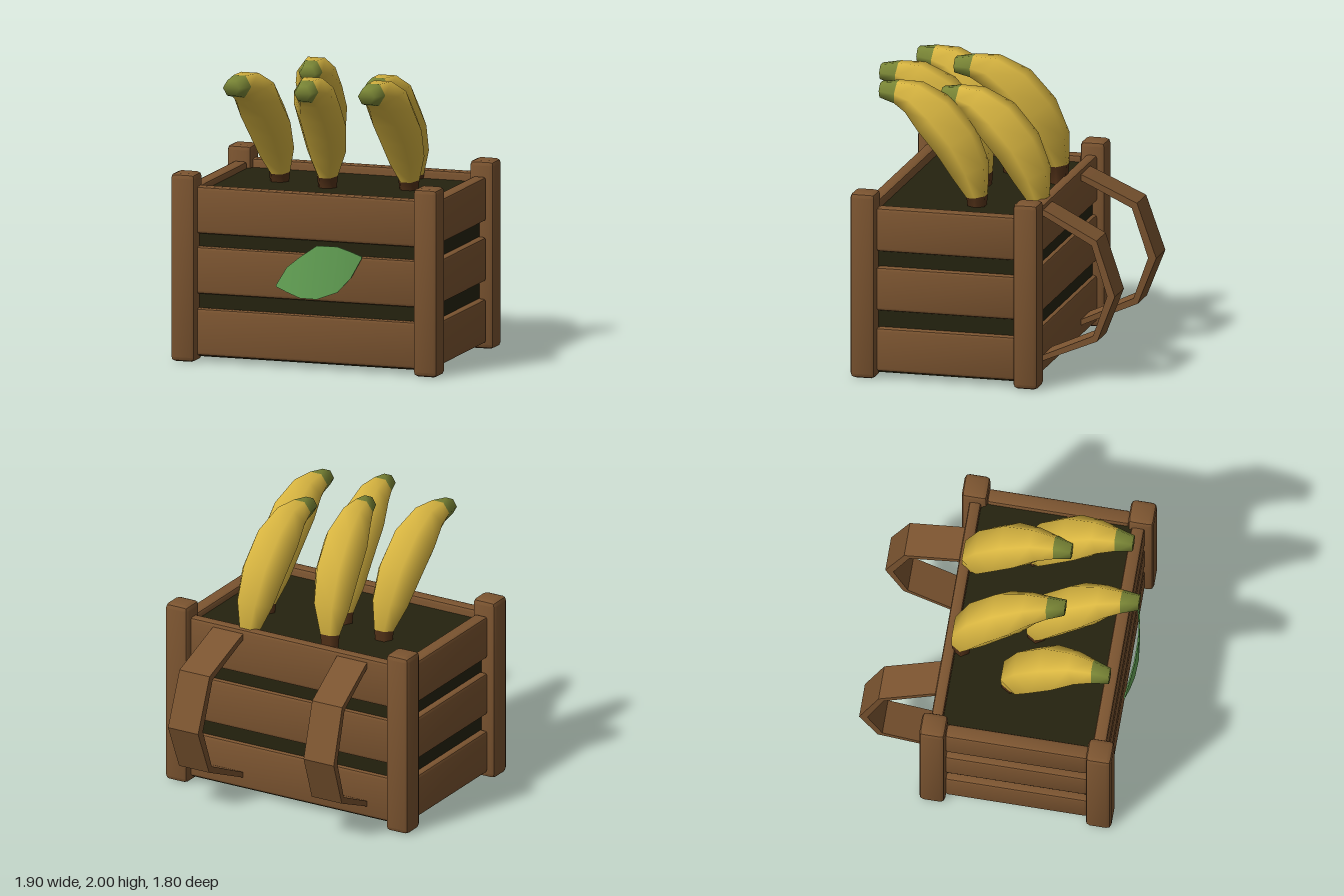
import * as THREE from 'three';
import { toCreasedNormals } from 'three/addons/utils/BufferGeometryUtils.js';
import { RoundedBoxGeometry } from 'three/addons/geometries/RoundedBoxGeometry.js';

const mat = (name, color) => {
  const m = new THREE.MeshStandardMaterial({ color });
  m.name = name;
  return m;
};

export function createModel() {
  const wood = mat('wood brown', 0x7b5430);
  const dark = mat('dark interior', 0x25230f);
  const yellow = mat('banana yellow', 0xd9b641);
  const green = mat('tip green', 0x7a8636);
  const stem = mat('stem brown', 0x553319);
  const leafGreen = mat('leaf green', 0x67a858);

  const model = new THREE.Group();
  const add = (name, geometry, material) => {
    const mesh = new THREE.Mesh(geometry, material);
    mesh.name = name;
    model.add(mesh);
    return mesh;
  };
  // Chamfered box given by its extents on each axis
  const block = (name, [x0, x1], [y0, y1], [z0, z1], bevel) => {
    const g = new RoundedBoxGeometry(x1 - x0, y1 - y0, z1 - z0, 1, bevel);
    add(name, toCreasedNormals(g, 0.4), wood)
      .position.set((x0 + x1) / 2, (y0 + y1) / 2, (z0 + z1) / 2);
  };

  // Corner posts
  for (const [x0, x1] of [[-0.95, -0.775], [0.775, 0.95]]) {
    for (const z of [[-0.445, -0.27], [0.685, 0.86]]) block('cornerPost', [x0, x1], [0, 1.28], z, 0.032);
  }

  // Three rows of planks on each wall
  for (const y of [0.04, 0.46, 0.87]) {
    block('frontPlank', [-0.8, 0.8], [y, y + 0.32], [0.71, 0.8], 0.02);
    block('backPlank', [-0.8, 0.8], [y, y + 0.32], [-0.39, -0.31], 0.02);
    for (const x of [[-0.9, -0.8], [0.8, 0.9]]) {
      block('sidePlank', x, [y + 0.005, y + 0.305], [-0.275, 0.69], 0.02);
    }
  }

  // Dark filling of the crate
  add('crateInterior', new THREE.BoxGeometry(1.7, 1.1, 1.12), dark).position.set(0, 0.58, 0.2);

  // Carrying straps on the back, leaning slightly outward
  const strapShape = new THREE.Shape([
    [-0.35, 1.18], [-0.44, 1.14], [-0.77, 0.98], [-0.9, 0.605], [-0.775, 0.285], [-0.44, 0.14], [-0.35, 0.1],
    [-0.35, 0.14], [-0.44, 0.18], [-0.745, 0.32], [-0.845, 0.605], [-0.735, 0.945], [-0.44, 1.095], [-0.35, 1.14],
  ].map(([z, y]) => new THREE.Vector2(z, y)));
  for (const side of [-1, 1]) {
    const g = new THREE.ExtrudeGeometry(strapShape, { depth: 0.235, bevelEnabled: false });
    g.translate(0, 0, -0.1175).rotateY(-Math.PI / 2);
    const p = g.attributes.position;
    for (let i = 0; i < p.count; i++) {
      p.setX(i, p.getX(i) + side * (0.485 + 0.045 * (-p.getZ(i) - 0.4) / 0.5));
    }
    g.computeVertexNormals();
    add(side > 0 ? 'leftStrap' : 'rightStrap', g, wood);
  }

  // Bananas: six-sided rings [z, y, radius] along a curved centre line
  const rings = [
    [0.1, 1.06, 0.06], [0.1, 1.195, 0.075], [0.15, 1.37, 0.138], [0.25, 1.56, 0.165],
    [0.4, 1.73, 0.165], [0.55, 1.84, 0.122], [0.67, 1.867, 0.085], [0.785, 1.872, 0.058],
  ];
  const sides = 6;
  const last = rings.length - 1;
  const bananaGeometry = (baseX, tipX, dz, dy) => {
    const pos = [], index = [];
    rings.forEach(([z, y, r], i) => {
      const a = rings[Math.max(i - 1, 0)], b = rings[Math.min(i + 1, last)];
      const len = Math.hypot(b[0] - a[0], b[1] - a[1]);
      const tz = (b[0] - a[0]) / len, ty = (b[1] - a[1]) / len;
      const x = baseX + (tipX - baseX) * Math.max(0, i - 1) / (last - 1);
      for (let j = 0; j < sides; j++) {
        const t = j / sides * Math.PI * 2;
        const c = r * Math.cos(t), s = r * Math.sin(t);
        pos.push(x + c, y + dy + s * tz, z + dz - s * ty);
      }
    });
    for (let i = 0; i < last; i++) {
      for (let j = 0; j < sides; j++) {
        const k = (j + 1) % sides, p = i * sides, q = p + sides;
        index.push(p + j, p + k, q + j, p + k, q + k, q + j);
      }
    }
    for (let j = 1; j < sides - 1; j++) index.push(last * sides, last * sides + j, last * sides + j + 1);
    const g = new THREE.BufferGeometry();
    g.setAttribute('position', new THREE.Float32BufferAttribute(pos, 3));
    g.setIndex(index);
    g.computeVertexNormals();
    const band = sides * 6;
    g.addGroup(0, band, 0);
    g.addGroup(band, band * (last - 2), 1);
    g.addGroup(band * (last - 1), index.length - band * (last - 1), 2);
    return g;
  };
  // [base x, tip x, z offset, y offset]
  for (const b of [
    [-0.44, -0.54, 0, 0], [-0.24, -0.13, -0.37, 0.06], [-0.06, 0.005, 0.11, 0.015],
    [0.37, 0.31, -0.4, -0.035], [0.48, 0.42, 0, 0],
  ]) add('banana', bananaGeometry(...b), [stem, yellow, green]);

  // Curved leaf on the front: columns of [x, lower y, upper y]
  const columns = [
    [-0.205, 0.55, 0.56], [-0.12, 0.52, 0.69], [-0.02, 0.488, 0.77], [0.1, 0.488, 0.853],
    [0.24, 0.54, 0.853], [0.33, 0.64, 0.82], [0.4, 0.775, 0.788],
  ];
  const leaf = new THREE.BoxGeometry(1, 1, 1, 6, 1, 1);
  const lp = leaf.attributes.position;
  for (let i = 0; i < lp.count; i++) {
    const [x, low, high] = columns[Math.round((lp.getX(i) + 0.5) * 6)];
    const bulge = 0.055 * (1 - ((x - 0.08) / 0.32) ** 2);
    lp.setXYZ(i, x, lp.getY(i) > 0 ? high : low, 0.815 + bulge + lp.getZ(i) * 0.009);
  }
  leaf.computeVertexNormals();
  add('leaf', leaf, leafGreen);

  return model;
}
